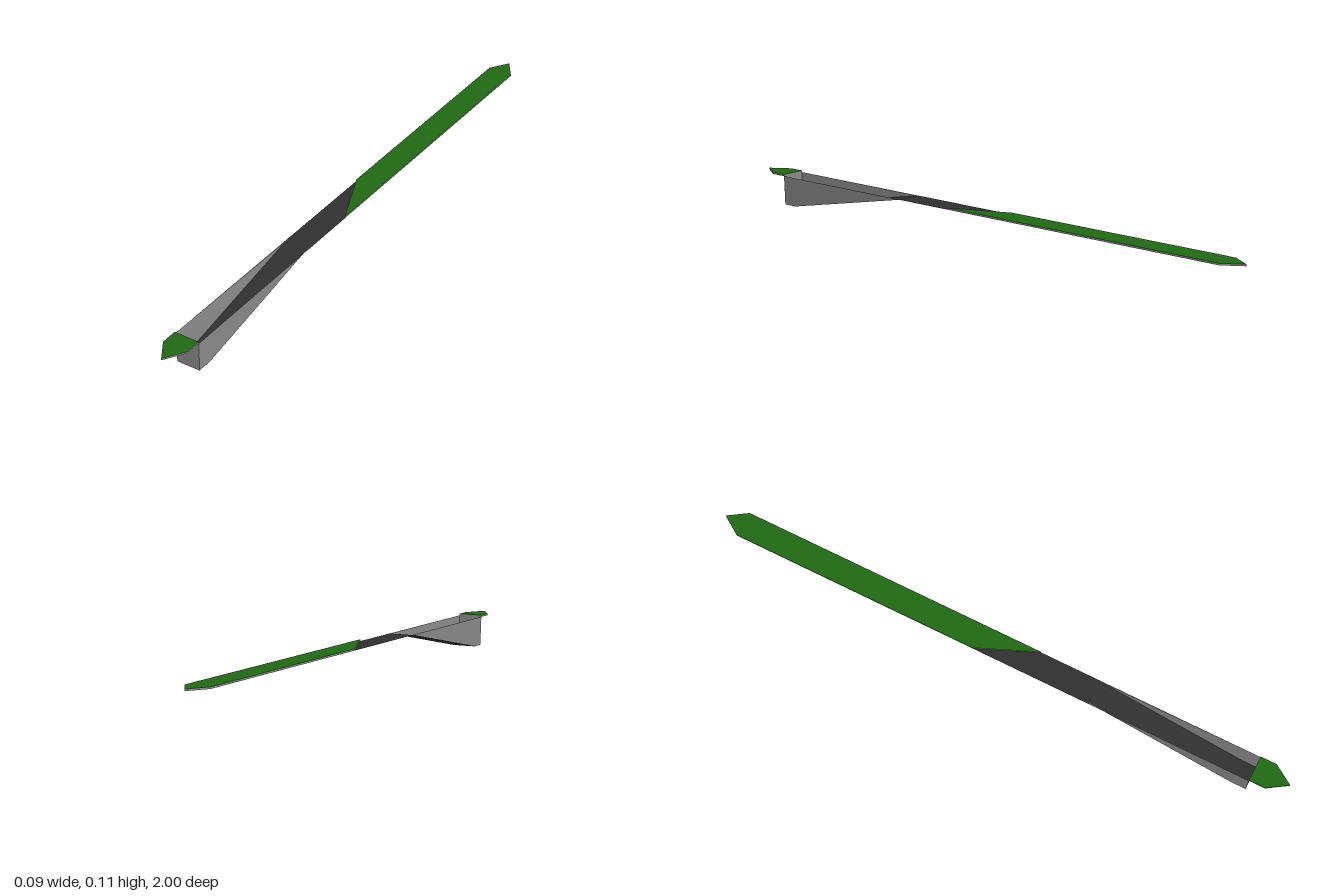
import * as THREE from 'three';

const W = 0.043;       // half width of the strip
const WALL = 0.04;     // half width of the trench
const ROAD = 0.1;      // road level
const TOP = 0.106;     // grass level

const material = (color) => new THREE.MeshStandardMaterial({ color, side: THREE.DoubleSide, flatShading: true });

// Flat polygon from [x, z] corners at height y
function slab(points, y) {
  const shape = new THREE.Shape(points.map(([x, z]) => new THREE.Vector2(x, -z)));
  return new THREE.ShapeGeometry(shape).rotateX(-Math.PI / 2).translate(0, y, 0);
}

// Sheet of quads between two rows of [x, y, z] points
function sheet(rowA, rowB) {
  const index = [];
  const n = rowA.length;
  for (let i = 0; i < n - 1; i++) index.push(i, n + i, i + 1, i + 1, n + i, n + i + 1);
  const geometry = new THREE.BufferGeometry();
  geometry.setAttribute('position', new THREE.Float32BufferAttribute([...rowA, ...rowB].flat(), 3));
  geometry.setIndex(index);
  geometry.computeVertexNormals();
  return geometry;
}

export function createModel() {
  const model = new THREE.Group();
  const grass = material(0x1f6a12);
  const asphalt = material(0x303030);
  const concrete = material(0x8c8c8c);

  const add = (name, geometry, mat) => {
    const mesh = new THREE.Mesh(geometry, mat);
    mesh.name = name;
    model.add(mesh);
  };

  // Grass islands with a kerb around each outline
  const islands = {
    rear: [[-W, -0.08], [W, 0.12], [W, -0.935], [0, -1], [-W, -0.935]],
    front: [[-W, 0.88], [-W, 0.935], [0, 1], [W, 0.935], [W, 0.88]],
  };
  for (const [name, outline] of Object.entries(islands)) {
    const loop = [...outline, outline[0]];
    add(name + 'Grass', slab(outline, TOP), grass);
    add(name + 'Kerb', sheet(loop.map(([x, z]) => [x, TOP, z]), loop.map(([x, z]) => [x, ROAD, z])), concrete);
  }

  // Level road behind the ramp
  add('road', slab([[-W, -0.08], [W, 0.12], [W, 0.33], [-W, 0.33]], ROAD), asphalt);

  // Ramp running down to the bottom of the trench, as [y, z]
  const ramp = [[ROAD, 0.33], [0, 0.83], [0, 0.88]];
  const side = (x) => ramp.map(([y, z]) => [x, y, z]);
  add('rampFloor', sheet(side(-WALL), side(WALL)), asphalt);

  // Trench walls on both sides and at the deep end
  for (const [name, s] of [['rightWall', -1], ['leftWall', 1]]) {
    add(name, sheet(ramp.map(([, z]) => [s * W, ROAD, z]), side(s * WALL)), concrete);
  }
  add('endWall', sheet([[-W, ROAD, 0.88], [W, ROAD, 0.88]], [[-WALL, 0, 0.88], [WALL, 0, 0.88]]), concrete);

  return model;
}
